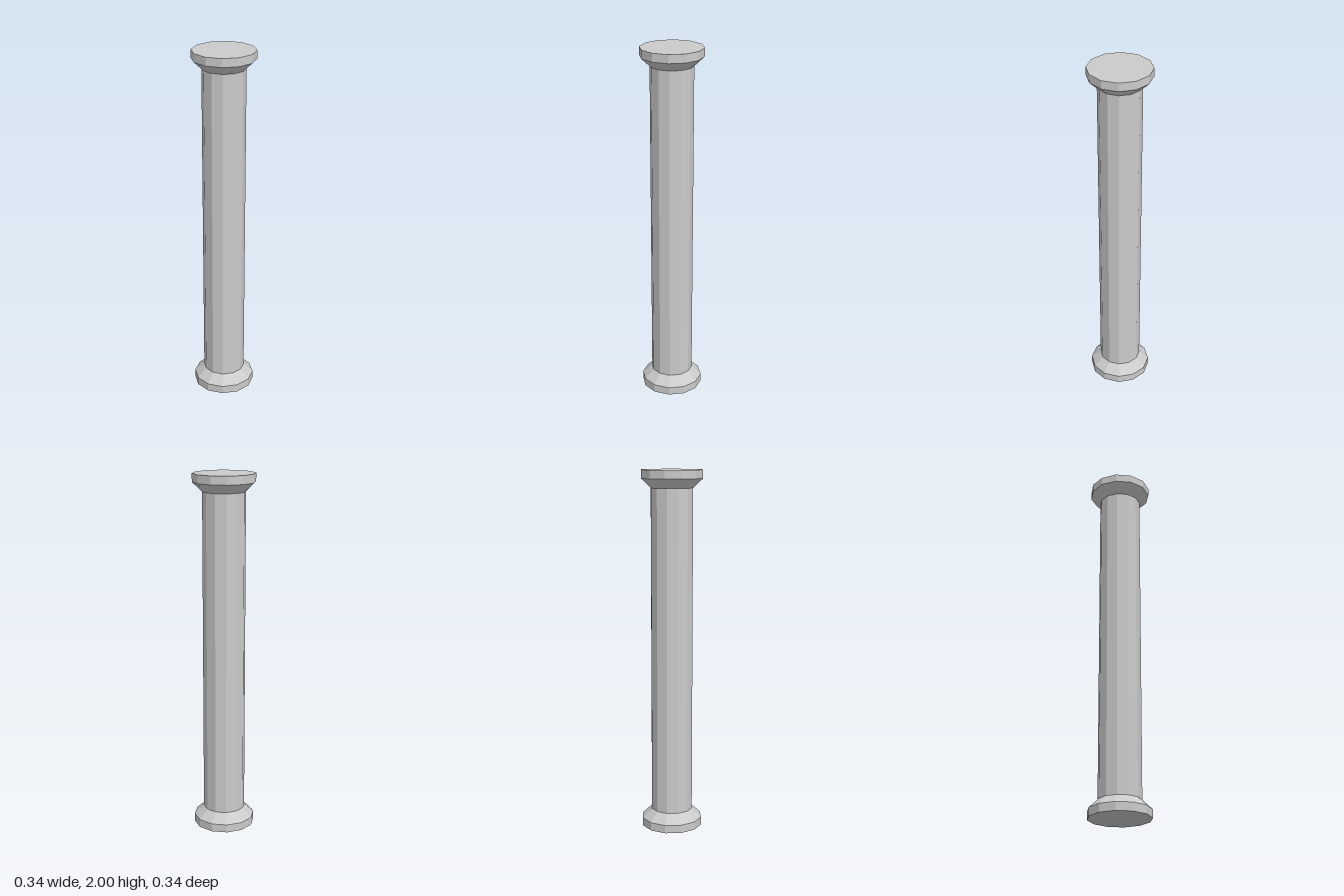
import * as THREE from 'three';

const SIDES = 12;
const SHAFT_R = 0.117;
const SLAB_R = 0.171;
const SLAB_H = 0.046; // thickness of each end slab
const FLARE_TOP = 0.097; // where the flare meets the shaft

export function createModel() {
  const group = new THREE.Group();
  group.name = 'column';
  const material = new THREE.MeshStandardMaterial({ color: 0xcccccc, flatShading: true });

  const addRing = (name, rTop, rBottom, y0, y1, open) => {
    const geometry = new THREE.CylinderGeometry(rTop, rBottom, y1 - y0, SIDES, 1, open);
    const mesh = new THREE.Mesh(geometry, material);
    mesh.name = name;
    mesh.position.y = (y0 + y1) / 2;
    group.add(mesh);
  };

  // Base: slab and flare narrowing up to the shaft
  addRing('baseSlab', SLAB_R, SLAB_R, 0, SLAB_H, false);
  addRing('baseFlare', SHAFT_R, SLAB_R, SLAB_H, FLARE_TOP, true);

  // Plain faceted shaft
  addRing('shaft', SHAFT_R, SHAFT_R, FLARE_TOP, 2 - FLARE_TOP, true);

  // Capital: mirror of the base
  addRing('capitalFlare', SLAB_R, SHAFT_R, 2 - FLARE_TOP, 2 - SLAB_H, true);
  addRing('capitalSlab', SLAB_R, SLAB_R, 2 - SLAB_H, 2, false);

  return group;
}
